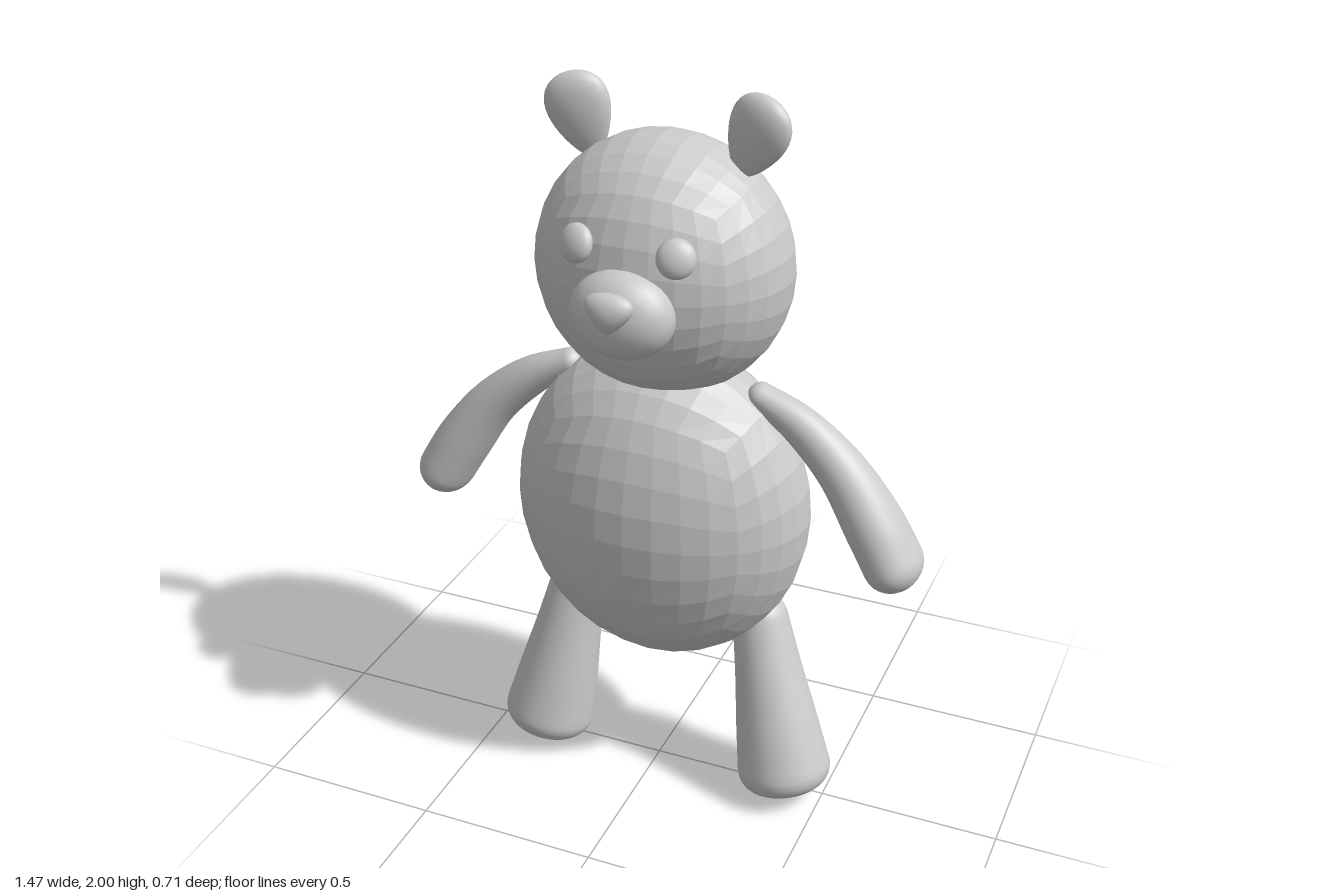
import * as THREE from 'three';
import { mergeVertices } from 'three/addons/utils/BufferGeometryUtils.js';

const smooth = new THREE.MeshStandardMaterial({ color: 0xcccccc });
const faceted = new THREE.MeshStandardMaterial({ color: 0xcccccc, flatShading: true });

// Quad-faced unit ball made from a subdivided cube; rule(v) may reshape it
function ball(segments, rule) {
  let geo = new THREE.BoxGeometry(2, 2, 2, segments, segments, segments);
  geo.deleteAttribute('uv');
  geo.deleteAttribute('normal');
  geo = mergeVertices(geo);
  const pos = geo.attributes.position;
  const v = new THREE.Vector3();
  for (let i = 0; i < pos.count; i++) {
    v.fromBufferAttribute(pos, i);
    v.set(...v.toArray().map((n) => Math.tan((n * Math.PI) / 4))).normalize();
    if (rule) rule(v);
    pos.setXYZ(i, v.x, v.y, v.z);
  }
  geo.computeVertexNormals();
  return geo;
}

// Limb through stations [x, y, z, radius in the front plane, radius in depth],
// closed by a dome of the given height at each end
function limb(stations, startDome, endDome, endBlunt) {
  const curve = new THREE.CatmullRomCurve3(stations.map((s) => new THREE.Vector3(s[0], s[1], s[2])));
  const radii = new THREE.CatmullRomCurve3(stations.map((s) => new THREE.Vector3(s[3], s[4], 0)));
  const rings = [];
  const add = (t, lift, scale) => {
    const T = curve.getTangent(t);
    const B = new THREE.Vector3(0, 0, 1).addScaledVector(T, -T.z).normalize();
    const N = B.clone().cross(T);
    const r = radii.getPoint(t).multiplyScalar(scale);
    rings.push({ c: curve.getPoint(t).addScaledVector(T, lift), N, B, r });
  };
  const steps = 20, cap = 8, sides = 32;
  for (let i = 0; i < cap; i++) {
    const a = (i / cap) * Math.PI / 2;
    add(0, -startDome * Math.cos(a), Math.sin(a));
  }
  for (let i = 0; i <= steps; i++) add(i / steps, 0, 1);
  for (let i = 1; i <= cap; i++) {
    const a = (i / cap) * Math.PI / 2;
    add(1, endDome * Math.sin(a), i === cap ? 0 : Math.pow(Math.cos(a), endBlunt));
  }
  const pos = [], index = [];
  rings.forEach(({ c, N, B, r }, i) => {
    for (let j = 0; j < sides; j++) {
      const a = (j / sides) * Math.PI * 2;
      const p = c.clone().addScaledVector(N, r.x * Math.cos(a)).addScaledVector(B, r.y * Math.sin(a));
      pos.push(p.x, p.y, p.z);
      if (i === rings.length - 1) continue;
      const k = i * sides + j, n = i * sides + ((j + 1) % sides);
      index.push(k, n, k + sides, n, n + sides, k + sides);
    }
  });
  const geo = new THREE.BufferGeometry();
  geo.setAttribute('position', new THREE.Float32BufferAttribute(pos, 3));
  geo.setIndex(index);
  geo.computeVertexNormals();
  return geo;
}

export function createModel() {
  const bear = new THREE.Group();
  bear.name = 'teddyBear';

  const add = (name, geo, material, position = [0, 0, 0], scale = [1, 1, 1], rotation = [0, 0, 0]) => {
    const mesh = new THREE.Mesh(geo, material);
    mesh.name = name;
    mesh.position.set(...position);
    mesh.scale.set(...scale);
    mesh.rotation.set(...rotation);
    bear.add(mesh);
  };

  // Torso, head and tail
  add('body', ball(8), faceted, [0, 0.85, -0.025], [0.412, 0.465, 0.282]);
  add('head', ball(8), faceted, [0, 1.535, -0.033], [0.342, 0.345, 0.275]);
  add('tail', ball(8), smooth, [0.01, 0.625, -0.29], [0.075, 0.075, 0.063]);

  // Muzzle, with a nose narrowing towards its lower end
  add('muzzle', ball(10), smooth, [0, 1.5, 0.235], [0.137, 0.115, 0.09]);
  const noseGeo = ball(10, (v) => { v.x *= 0.78 + 0.42 * v.y; });
  add('nose', noseGeo, smooth, [0, 1.535, 0.315], [0.073, 0.052, 0.038]);

  // Ears taper towards the head
  const earGeo = ball(10, (v) => {
    const taper = 0.85 + 0.3 * v.y;
    v.x *= taper;
    v.z *= taper;
  });

  for (const s of [1, -1]) {
    const side = s > 0 ? 'left' : 'right';
    const left = s > 0;

    add(side + 'Eye', ball(8), smooth, [s * 0.131, 1.657, 0.212], [0.049, 0.05, 0.027], [-0.35, s * 0.3, 0]);
    add(side + 'Ear', earGeo, smooth,
      left ? [0.237, 1.894, -0.03] : [-0.237, 1.885, -0.058],
      [0.094, 0.113, 0.042], [0, -s * 0.22, -s * (left ? 0.42 : 0.3)]);

    // Curved arm widening to a rounded paw
    const dz = left ? 0 : -0.02;
    add(side + 'Arm', limb([
      [s * 0.27, 1.208, -0.03, 0.036, 0.04],
      [s * 0.38, 1.148, -0.025, 0.053, 0.05],
      [s * 0.5, 1.045, -0.015 + dz * 0.5, 0.066, 0.068],
      [s * 0.6, 0.91, -0.002 + dz, 0.078, 0.09],
      [s * 0.657, 0.815, 0.003 + dz, 0.078, 0.099],
    ], 0.035, 0.075, 1), smooth);

    // Splayed leg ending in a blunt foot
    const top = left ? [0.285, 0.52, -0.04] : [-0.265, 0.52, -0.04];
    const foot = left ? [0.393, 0.095, 0.033] : [-0.343, 0.08, 0.015];
    const at = (t, rx, rz) => [...top.map((n, i) => n + (foot[i] - n) * t), rx, rz];
    add(side + 'Leg', limb([
      at(0, 0.078, 0.075),
      at(0.33, 0.093, 0.094),
      at(0.7, 0.115, 0.114),
      at(1, 0.131, 0.128),
    ], 0.075, 0.068, 0.5), smooth);
  }

  return bear;
}
